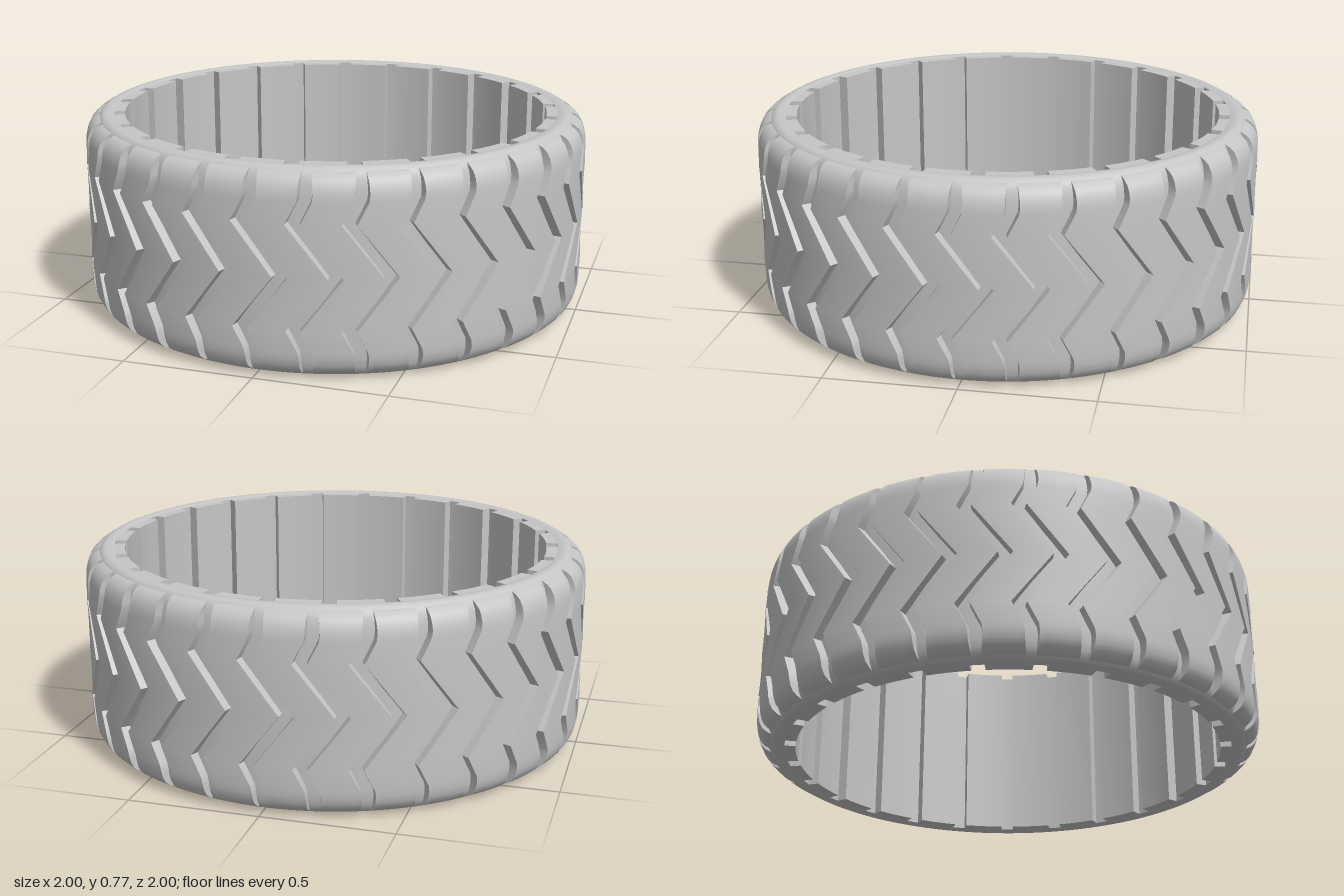
import * as THREE from 'three';
import { toCreasedNormals } from 'three/addons/utils/BufferGeometryUtils.js';

const H = 0.77;          // ring height
const LUGS = 32;         // tread blocks round the outside
const PADS = 25;         // pads round the inside

const rubber = new THREE.MeshStandardMaterial({ color: 0xc6c6c6 });
rubber.name = 'grey rubber';

const polar = (r, a) => [r * Math.sin(a), r * Math.cos(a)];

// Carcass: closed profile, lower half mirrored to the upper half
function carcass() {
  const half = [[0.885, 0.006], [0.9, 0.002], [0.918, 0], [0.932, 0.005], [0.945, 0.018],
    [0.955, 0.04], [0.961, 0.07], [0.964, 0.11]];
  const loop = [...half, ...half.map(([r, y]) => [r, H - y]).reverse(), half[0]];
  const geo = new THREE.LatheGeometry(loop.map(p => new THREE.Vector2(...p)), 150);
  return toCreasedNormals(geo, 0.6);
}

// Inner pad: a ring sector running the full height, centred on +z
function pad() {
  const half = Math.PI / PADS - 0.03, n = 6;
  const pts = [];
  for (let i = 0; i <= n; i++) pts.push(polar(0.842, -half + 2 * half * i / n));
  for (let i = n; i >= 0; i--) pts.push(polar(0.892, -half + 2 * half * i / n));
  const geo = new THREE.ExtrudeGeometry(new THREE.Shape(pts.map(p => new THREE.Vector2(...p))),
    { depth: H - 0.012, bevelEnabled: false });
  geo.rotateX(-Math.PI / 2);
  geo.rotateY(Math.PI);
  geo.translate(0, 0.006, 0);
  return toCreasedNormals(geo, 0.5);
}

// Tread block: rows [distance from edge, block radius, groove angle]
function lug() {
  const half = [[0.011, 0.925, 0], [0.015, 0.947, 0], [0.023, 0.963, 0], [0.038, 0.979, 0],
    [0.06, 0.99, 0], [0.085, 0.996, 0], [0.11, 0.998, -0.004], [0.19, 1, -0.045]];
  const rows = [...half, [H / 2, 1, 0.105], ...half.map(([y, r, a]) => [H - y, r, a]).reverse()];
  const pitch = Math.PI * 2 / LUGS, n = 6, pos = [], idx = [];
  const gap = r => 0.019 + Math.max(0, r - 0.96) * 0.2;   // grooves widen outwards
  rows.forEach(([y, r, a]) => {
    const base = Math.min(0.93, r - 0.004);
    const put = (rad, ang) => { const [x, z] = polar(rad, ang); pos.push(x, y, z); };
    put(base, a + gap(base));
    for (let i = 0; i <= n; i++) put(r, a + gap(r) + (pitch - 2 * gap(r)) * i / n);
    put(base, a + pitch - gap(base));
  });
  const w = n + 3;
  for (let i = 0; i < rows.length - 1; i++) {
    for (let j = 0; j < w - 1; j++) {
      const k = i * w + j;
      idx.push(k, k + 1, k + w + 1, k, k + w + 1, k + w);
    }
  }
  const geo = new THREE.BufferGeometry();
  geo.setAttribute('position', new THREE.Float32BufferAttribute(pos, 3));
  geo.setIndex(idx);
  return toCreasedNormals(geo, 0.5);
}

// Repeat one part evenly round the vertical axis
function ring(name, geo, count) {
  const group = new THREE.Group();
  group.name = name + 's';
  for (let i = 0; i < count; i++) {
    const mesh = new THREE.Mesh(geo, rubber);
    mesh.name = name;
    mesh.rotation.y = i * Math.PI * 2 / count;
    group.add(mesh);
  }
  return group;
}

export function createModel() {
  const model = new THREE.Group();
  model.name = 'tyre';
  const body = new THREE.Mesh(carcass(), rubber);
  body.name = 'carcass';
  model.add(body, ring('treadBlock', lug(), LUGS), ring('innerPad', pad(), PADS));
  return model;
}
